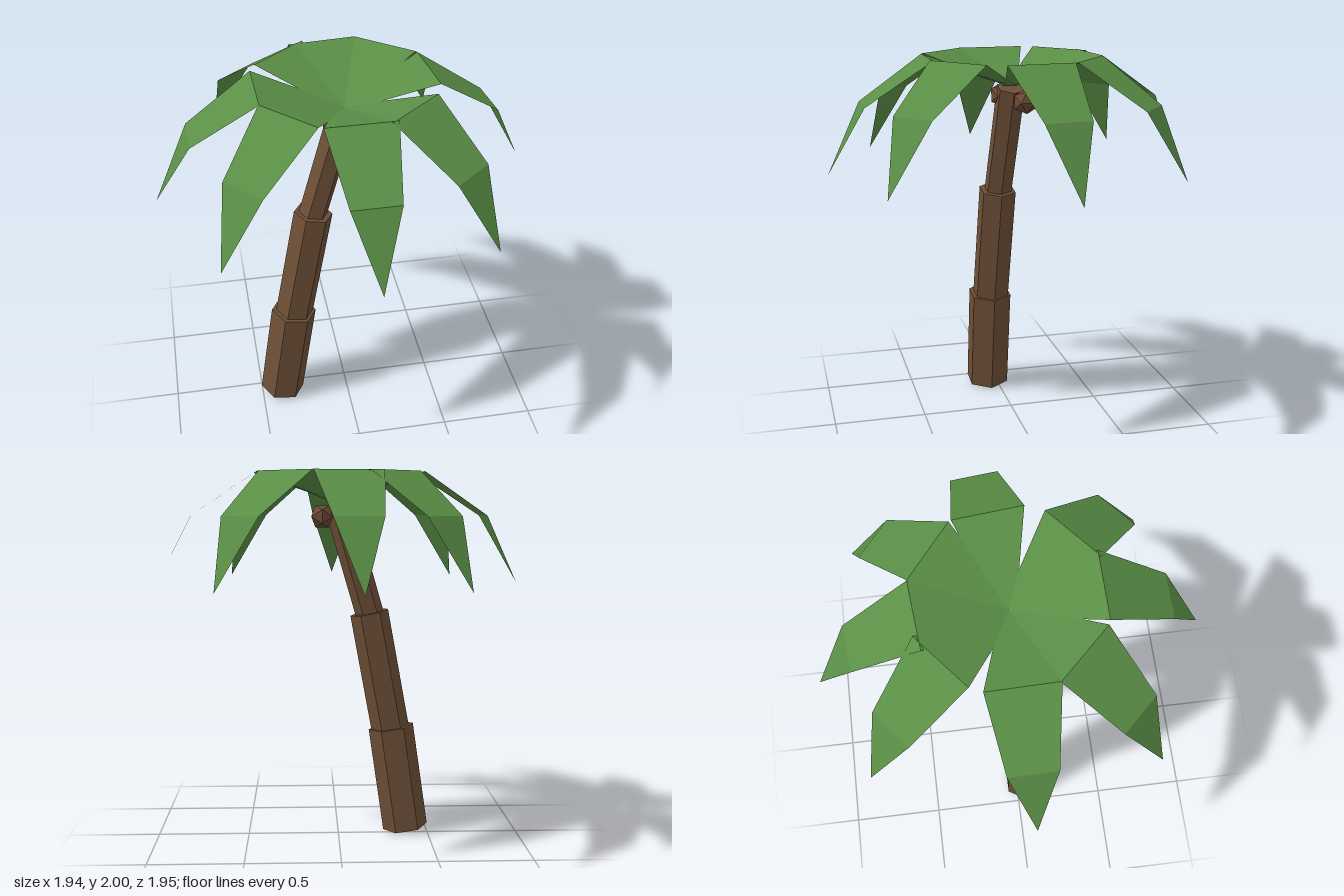
import * as THREE from 'three';

const bark = new THREE.MeshStandardMaterial({ name: 'bark brown', color: 0x6e4f37, flatShading: true });
const shell = new THREE.MeshStandardMaterial({ name: 'nut brown', color: 0x6e4a35, flatShading: true });
const green = new THREE.MeshStandardMaterial({ name: 'frond green', color: 0x5a8f46, flatShading: true, side: THREE.DoubleSide });

// Straight six-sided prism between two points
function trunkSegment(from, to, radius) {
  const a = new THREE.Vector3(...from), b = new THREE.Vector3(...to);
  const axis = b.clone().sub(a);
  const geometry = new THREE.CylinderGeometry(radius, radius, axis.length(), 6);
  geometry.rotateY(Math.PI / 2); // corners towards +x and -x
  const mesh = new THREE.Mesh(geometry, bark);
  mesh.position.copy(a).add(b).multiplyScalar(0.5);
  mesh.quaternion.setFromUnitVectors(new THREE.Vector3(0, 1, 0), axis.normalize());
  return mesh;
}

// Folded frond along +x, from stations of [distance, height, half width]
function frondGeometry() {
  const stations = [[0, 1.84, 0.035], [0.443, 2, 0.178], [0.787, 1.77, 0.122], [0.975, 1.41, 0]];
  const points = [], index = [];
  stations.forEach(([r, y, w], i) => {
    points.push(r, y, -w, r, y, w);
    if (i === 0) return;
    const k = 2 * (i - 1);
    index.push(k, k + 1, k + 2);
    if (w > 0) index.push(k + 1, k + 3, k + 2);
  });
  const indexed = new THREE.BufferGeometry();
  indexed.setAttribute('position', new THREE.Float32BufferAttribute(points, 3));
  indexed.setIndex(index);
  const geometry = indexed.toNonIndexed();
  geometry.computeVertexNormals();
  return geometry;
}

export function createModel() {
  const model = new THREE.Group();
  model.name = 'palmTree';

  // Leaning trunk in three narrowing pieces
  const trunk = new THREE.Group();
  trunk.name = 'trunk';
  const segments = [
    [[-0.381, 0.022, 0.053], [-0.296, 0.6, 0.053], 0.125],
    [[-0.3, 0.55, 0.051], [-0.171, 1.243, 0.034], 0.105],
    [[-0.187, 1.19, 0.034], [0, 1.83, 0], 0.077],
  ];
  segments.forEach(([from, to, radius], i) => {
    const mesh = trunkSegment(from, to, radius);
    mesh.name = ['lowerTrunk', 'middleTrunk', 'upperTrunk'][i];
    trunk.add(mesh);
  });
  model.add(trunk);

  // Ring of fronds, slightly uneven in direction (x, z of each tip)
  const crown = new THREE.Group();
  crown.name = 'crown';
  const tips = [
    [0.974, -0.1], [0.628, 0.749], [0.01, 0.974], [-0.7, 0.675],
    [-0.974, 0.02], [-0.62, -0.76], [-0.09, -0.975], [0.613, -0.764],
  ];
  const leaf = frondGeometry();
  tips.forEach(([x, z]) => {
    const mesh = new THREE.Mesh(leaf, green);
    mesh.name = 'frond';
    mesh.rotation.y = Math.atan2(-z, x);
    crown.add(mesh);
  });
  model.add(crown);

  // Nuts under the crown
  for (const p of [[0.088, 1.765, -0.055], [-0.06, 1.785, 0.035]]) {
    const nut = new THREE.Mesh(new THREE.IcosahedronGeometry(0.068, 0), shell);
    nut.name = 'nut';
    nut.position.set(...p);
    model.add(nut);
  }
  return model;
}
